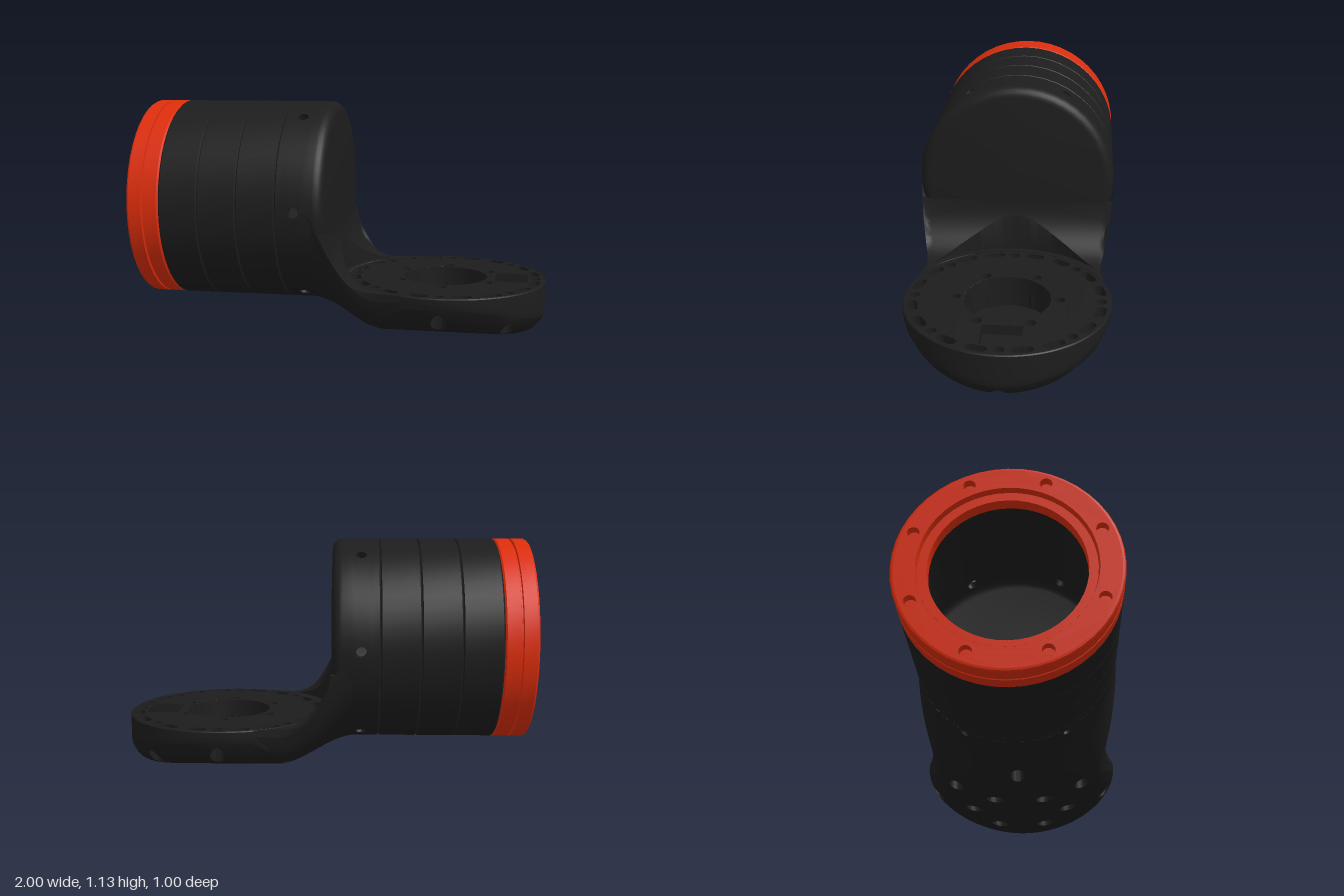
import * as THREE from 'three';
import { toCreasedNormals, mergeGeometries } from 'three/addons/utils/BufferGeometryUtils.js';

const SEG = 48, AXIS = 0.63, C = 0.5, TOP = 0.25, START = -0.14;
const smooth = THREE.MathUtils.smoothstep, lerp = THREE.MathUtils.lerp;
const steps = (n, a, b) => Array.from({ length: n + 1 }, (_, i) => lerp(a, b, i / n));

// half width of the waist between the barrel and the flange
const waist = x => 0.5 - 0.057 * smooth(x, -0.1, 0.17) + 0.03 * smooth(x, 0.17, 0.38);

// underside height shared by the neck and the flange
function under(x, z) {
  const barrel = AXIS - Math.sqrt(Math.max(0, 0.25 - z * z));
  let edge = 0.5 - Math.hypot(x - C, z);
  if (x < 0.35) edge = Math.max(edge, waist(x) - Math.abs(z));
  const q = 0.12 - Math.min(0.12, Math.max(0, edge));
  const dish = 0.45 * z * z + 0.12 - Math.sqrt(Math.max(0, 0.0144 - q * q));
  return Math.min(x > 0.2 ? 0.22 : 1, lerp(barrel, dish, smooth(x, START - 0.02, 0.22)));
}

// concave fillet on top of the neck
function over(x) {
  if (x > 0.19) return TOP;
  const k = Math.min(1, (0.19 - x) / 0.23);
  return 0.52 - 0.27 * Math.sqrt(1 - k * k);
}

// surface through rows of points of equal length
function grid(rows) {
  const n = rows[0].length, index = [];
  for (let i = 0; i < rows.length - 1; i++) for (let j = 0; j < n - 1; j++) {
    const a = i * n + j, b = a + n;
    index.push(a, b, a + 1, b, b + 1, a + 1);
  }
  const g = new THREE.BufferGeometry();
  g.setAttribute('position', new THREE.Float32BufferAttribute(rows.flat(2), 3));
  g.setIndex(index);
  g.computeVertexNormals();
  return toCreasedNormals(g, 0.6);
}

// band around a centre with evenly spaced round holes; map(angle, v) gives the point
function piercedRing(count, first, half, v0, v1, radius, hole, map) {
  const parts = [], mid = (v0 + v1) / 2, pitch = Math.PI * 2 / count;
  const square = [];
  for (let i = 0; i < 4; i++) square.push([-1 + i / 2, -1]);
  for (let i = 0; i < 4; i++) square.push([1, -1 + i / 2]);
  for (let i = 0; i < 4; i++) square.push([1 - i / 2, 1]);
  for (let i = 0; i <= 4; i++) square.push([-1, 1 - i / 2]);
  for (let k = 0; k < count; k++) {
    const a = first + k * pitch;
    parts.push(grid(steps(3, 0, 1).map(t => square.map(([p, q]) => {
      const d = hole / Math.hypot(p, q);
      return map(a + lerp(p * d / radius, p * half, t), mid + lerp(q * d, q * (v1 - v0) / 2, t));
    }))));
    parts.push(grid(steps(12, a + half, a + pitch - half).map(u => steps(4, v0, v1).map(v => map(u, v)))));
  }
  return toCreasedNormals(mergeGeometries(parts), 0.6);
}

const circle = (x, y, r) => new THREE.Path().absarc(x, y, r, 0, Math.PI * 2, false);
const disc = r => new THREE.Shape().absarc(0, 0, r, 0, Math.PI * 2, false);

function slot(angle, radius, half, r) {
  const at = d => [radius * Math.cos(angle) - d * Math.sin(angle), radius * Math.sin(angle) + d * Math.cos(angle)];
  const p = new THREE.Path();
  p.absarc(...at(half), r, angle, angle + Math.PI, false);
  p.absarc(...at(-half), r, angle + Math.PI, angle + Math.PI * 2, false);
  p.closePath();
  return p;
}

const rectPath = (x0, x1, h) => new THREE.Path(
  [[x0, -h], [x1, -h], [x1, h], [x0, h], [x0, -h]].map(p => new THREE.Vector2(...p)));

// walls and floor of a blind pocket below z = 0
function pocket(path, depth) {
  const pts = path.getPoints(10);
  const wall = grid([0, -depth].map(z => pts.map(p => [p.x, p.y, z])));
  const floor = new THREE.ShapeGeometry(new THREE.Shape(pts)).toNonIndexed().translate(0, 0, -depth);
  floor.deleteAttribute('uv');
  return mergeGeometries([wall, floor]);
}

export function createModel() {
  const root = new THREE.Group();
  const mat = (name, color) => {
    const m = new THREE.MeshStandardMaterial({ color, side: THREE.DoubleSide });
    m.name = name;
    return m;
  };
  const dark = mat('charcoal', 0x1d1d1d), orange = mat('orange', 0xdc2d0c);
  const group = (name, x, y) => {
    const g = new THREE.Group();
    g.name = name;
    g.position.set(x, y, 0);
    root.add(g);
    return g;
  };
  const add = (parent, name, geo, m = dark) => {
    const mesh = new THREE.Mesh(geo, m);
    mesh.name = name;
    parent.add(mesh);
  };
  // profile of [radius, x] turned about the x axis
  const turned = pts => toCreasedNormals(
    new THREE.LatheGeometry(pts.map(p => new THREE.Vector2(...p)), SEG).rotateZ(-Math.PI / 2), 0.5);

  // barrel with seam grooves and rounded closed end
  const barrel = group('barrel', 0, AXIS);
  const shell = [[0.42, -0.84], [0.493, -0.84], [0.5, -0.833]];
  for (const x of [-0.65, -0.46, -0.27]) shell.push([0.5, x - 0.006], [0.492, x], [0.5, x + 0.006]);
  add(barrel, 'barrelShell', turned([...shell, [0.5, -0.22]]));
  const end = [[0.5, START]];
  for (const a of steps(6, 0, Math.PI / 2)) end.push([0.45 + 0.05 * Math.cos(a), -0.09 + 0.05 * Math.sin(a)]);
  add(barrel, 'barrelEnd', turned([...end, [0, -0.04]]));
  add(barrel, 'barrelLiner', turned([[0.345, -0.91], [0.42, -0.91], [0.42, -0.27], [0.499, -0.25]]));

  // band of the barrel pierced by six radial screw holes
  add(barrel, 'piercedBand', piercedRing(6, 0, Math.PI / 24, -0.22, START, 0.5, 0.026,
    (a, x) => [x, 0.5 * Math.sin(a), 0.5 * Math.cos(a)]));
  for (let k = 0; k < 6; k++) {
    const bore = new THREE.CylinderGeometry(0.026, 0.026, 0.05, 16, 1, true);
    bore.translate(0, 0.474, 0).rotateX(Math.PI / 2 - k * Math.PI / 3).translate(-0.18, 0, 0);
    add(barrel, 'radialScrewHole', bore);
  }

  // orange end ring with stepped opening and eight screw holes
  const ring = group('endRing', 0, AXIS);
  add(ring, 'ringOuter', turned([[0.485, -1], [0.495, -0.998], [0.5, -0.99], [0.5, -0.926], [0.488, -0.923],
    [0.488, -0.917], [0.5, -0.914], [0.5, -0.848], [0.493, -0.841], [0.425, -0.841]]), orange);
  add(ring, 'ringInner', turned([[0.39, -1], [0.385, -0.97], [0.345, -0.97], [0.345, -0.91]]), orange);
  const face = disc(0.485);
  face.holes.push(circle(0, 0, 0.39));
  const turnFace = g => g.rotateY(-Math.PI / 2).translate(-1, 0, 0);
  for (let k = 0; k < 8; k++) {
    const a = (k + 0.5) * Math.PI / 4;
    const hole = circle(0.44 * Math.cos(a), 0.44 * Math.sin(a), 0.028);
    face.holes.push(hole);
    add(ring, 'ringScrewHole', turnFace(pocket(hole, 0.04)), orange);
  }
  add(ring, 'ringFace', turnFace(new THREE.ShapeGeometry(face, SEG)), orange);

  // neck: strips running from the barrel to the rim of the flange
  const neck = group('neck', 0, 0);
  const reach = (s, R) => {
    let x = 0;
    for (let i = 0; i < 30; i++) x = C - Math.sqrt(R * R - (s * waist(x)) ** 2);
    return x;
  };
  const low = [], high = [];
  for (const s of steps(48, -1, 1)) {
    const cut = reach(s, 0.53), rim = reach(s, 0.5);
    const xs = [...steps(5, START, -0.041), ...steps(16, -0.04, cut), cut, rim];
    low.push(xs.map(x => [x, under(x, s * waist(x)), s * waist(x)]));
    high.push(xs.map((x, j) => {
      const z = s * waist(x);
      return [x, j > xs.length - 3 ? TOP : Math.max(over(x), under(x, z)), z];
    }));
  }
  add(neck, 'neckUnderside', grid(low));
  add(neck, 'neckFillet', grid(high));
  for (const i of [0, 48]) add(neck, 'neckSide', grid([low[i], high[i]]));

  // flange: flat face with pockets, pierced by two rings of bolt holes
  const flange = group('flange', C, 0);
  const lay = (g, y) => g.rotateX(-Math.PI / 2).translate(0, y, 0);
  const top = disc(0.495);
  const sink = (name, path, depth) => {
    top.holes.push(path);
    add(flange, name, lay(pocket(path, depth), TOP));
  };
  sink('centreRecess', circle(0, 0, 0.21), 0.16);
  sink('rectangularPocket', rectPath(0.25, 0.41, 0.095), 0.05);
  for (let k = 0; k < 8; k++) for (const d of [-9.5, 9.5]) {
    sink('rimSlot', slot((k * 45 + 22.5 + d) * Math.PI / 180, 0.455, 0.028, 0.024), 0.05);
  }
  const bolts = [];
  for (let k = 0; k < 6; k++) bolts.push([0.25, (k + 0.5) * Math.PI / 3, 0.045]);
  for (let k = 0; k < 8; k++) bolts.push([0.45, k * Math.PI / 4, 0.036]);
  for (const [r, a, wide] of bolts) {
    const x = r * Math.cos(a), z = r * Math.sin(a);
    top.holes.push(circle(x, z, 0.025));
    // narrow bore, shoulder and wide counterbore ending on the underside
    const bore = new THREE.LatheGeometry([[0.025, TOP], [0.025, 0.17], [wide, 0.17], [wide, 0]]
      .map(p => new THREE.Vector2(...p)), 24).translate(x, 0, z);
    const p = bore.attributes.position;
    for (let i = 0; i < p.count; i++) if (p.getY(i) === 0) p.setY(i, under(p.getX(i) + C, p.getZ(i)));
    add(flange, 'boltHole', toCreasedNormals(bore, 0.6));
  }
  add(flange, 'flangeFace', lay(new THREE.ShapeGeometry(top, SEG), TOP));

  // dished underside and rim wall, with a small bevel at the face
  const low3 = (a, r) => {
    const x = r * Math.cos(a), z = r * Math.sin(a);
    return [x, under(x + C, z), z];
  };
  const around = steps(96, 0, Math.PI * 2);
  const sweep = radii => radii.map(r => around.map(a => low3(a, r)));
  const level = (r, y) => around.map(a => [r * Math.cos(a), y, r * Math.sin(a)]);
  const underside = mergeGeometries([
    grid(sweep(steps(4, 0, 0.2))),
    piercedRing(6, Math.PI / 6, Math.PI / 12, 0.2, 0.3, 0.25, 0.045, low3),
    grid(sweep(steps(5, 0.3, 0.405))),
    piercedRing(8, 0, Math.PI / 24, 0.405, 0.495, 0.45, 0.036, low3),
    grid([...sweep([0.495, 0.498, 0.5]), level(0.5, 0.245), level(0.495, TOP)]),
  ]);
  add(flange, 'flangeUnderside', toCreasedNormals(underside, 0.6));
  return root;
}
